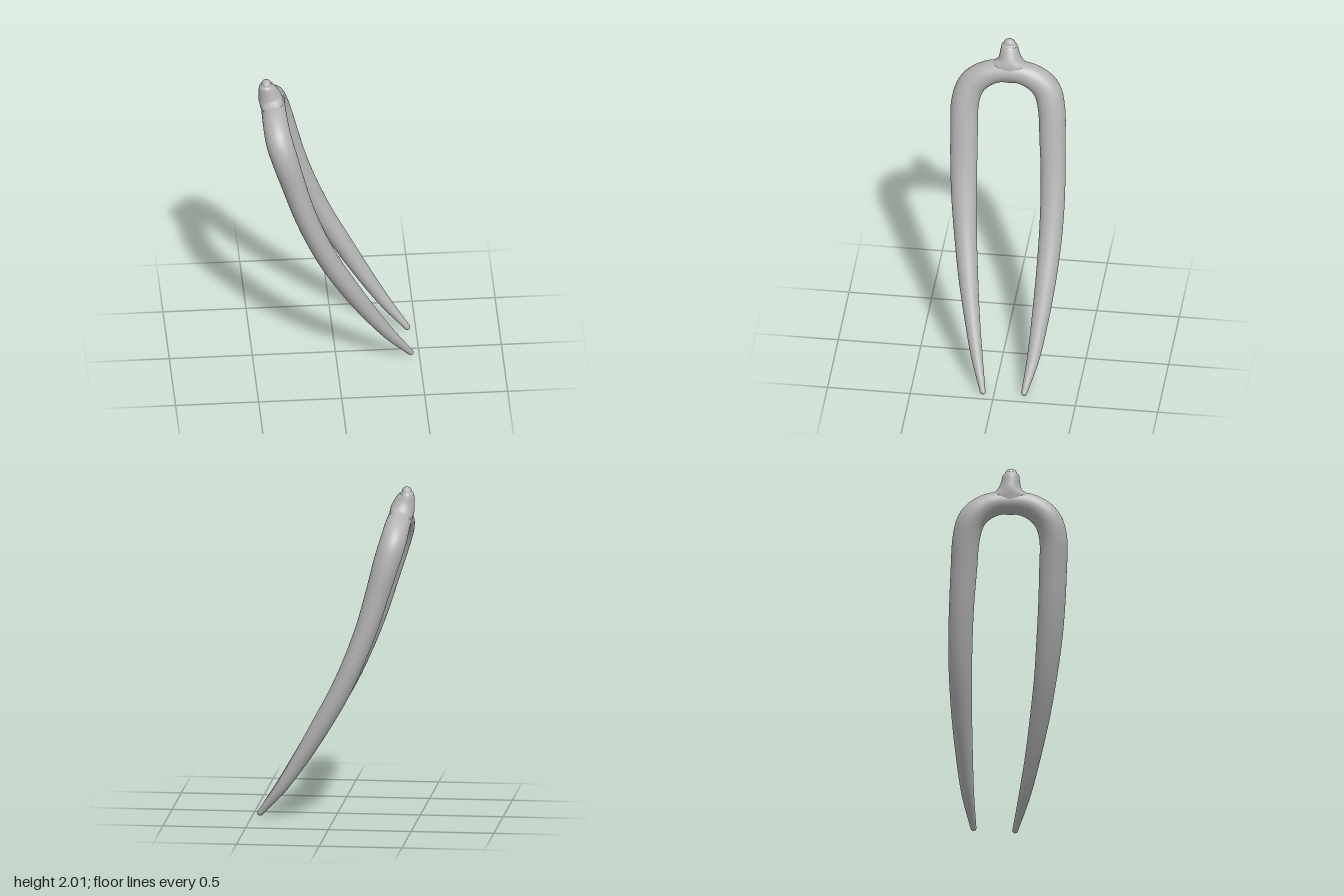
import * as THREE from 'three';

// Sweeps an elliptical section along rows of [x, y, z, radius along ref, radius across], with round ends.
function sweep(rows, ref, steps, sides) {
  const path = new THREE.CatmullRomCurve3(rows.map(r => new THREE.Vector3(r[0], r[1], r[2])), false, 'catmullrom', 0.5);
  const size = new THREE.CatmullRomCurve3(rows.map(r => new THREE.Vector3(r[3], r[4], 0)), false, 'catmullrom', 0.5);
  const rings = [];
  const capSteps = 7;
  for (let k = 0; k < capSteps; k++) rings.push([0, -Math.PI / 2 * (1 - k / capSteps)]);
  for (let i = 0; i <= steps; i++) rings.push([i / steps, 0]);
  for (let k = 1; k <= capSteps; k++) rings.push([1, Math.PI / 2 * k / capSteps]);

  const pos = [], index = [];
  rings.forEach(([t, a], i) => {
    const s = size.getPoint(t), T = path.getTangent(t);
    const B = T.clone().cross(ref).normalize();
    const N = B.clone().cross(T);
    const centre = path.getPoint(t).addScaledVector(T, Math.sin(a) * Math.min(s.x, s.y));
    const shrink = Math.max(Math.cos(a), 0.001);
    for (let j = 0; j < sides; j++) {
      const u = j / sides * Math.PI * 2;
      const p = centre.clone()
        .addScaledVector(N, Math.cos(u) * s.x * shrink)
        .addScaledVector(B, Math.sin(u) * s.y * shrink);
      pos.push(p.x, p.y, p.z);
      if (i < rings.length - 1) {
        const p0 = i * sides + j, p1 = i * sides + (j + 1) % sides;
        index.push(p0, p1, p0 + sides, p1, p1 + sides, p0 + sides);
      }
    }
  });
  const g = new THREE.BufferGeometry();
  g.setAttribute('position', new THREE.Float32BufferAttribute(pos, 3));
  g.setIndex(index);
  g.computeVertexNormals();
  return g;
}

export function createModel() {
  const group = new THREE.Group();
  const bone = new THREE.MeshStandardMaterial({ color: 0xb4b4b4 });
  bone.name = 'grey bone';

  // Front prong, arch and back prong as one continuous fork
  const fork = new THREE.Mesh(sweep([
    [0.448, 0.02, 0.067, 0.018, 0.017],
    [0.315, 0.2, 0.122, 0.036, 0.036],
    [0.185, 0.4, 0.168, 0.049, 0.048],
    [0.067, 0.6, 0.205, 0.058, 0.06],
    [-0.043, 0.8, 0.234, 0.062, 0.068],
    [-0.133, 1.0, 0.254, 0.064, 0.077],
    [-0.208, 1.2, 0.267, 0.067, 0.081],
    [-0.268, 1.4, 0.273, 0.072, 0.083],
    [-0.322, 1.59, 0.274, 0.079, 0.084],
    [-0.357, 1.71, 0.234, 0.08, 0.083],
    [-0.372, 1.785, 0.137, 0.076, 0.075],
    [-0.375, 1.807, 0.01, 0.074, 0.067],
    [-0.372, 1.785, -0.117, 0.076, 0.075],
    [-0.357, 1.71, -0.212, 0.08, 0.083],
    [-0.322, 1.59, -0.25, 0.079, 0.082],
    [-0.268, 1.4, -0.263, 0.072, 0.079],
    [-0.208, 1.2, -0.274, 0.067, 0.075],
    [-0.133, 1.0, -0.279, 0.064, 0.073],
    [-0.043, 0.8, -0.276, 0.062, 0.069],
    [0.067, 0.6, -0.265, 0.058, 0.062],
    [0.185, 0.4, -0.247, 0.049, 0.052],
    [0.315, 0.2, -0.222, 0.036, 0.038],
    [0.447, 0.033, -0.184, 0.018, 0.018],
  ], new THREE.Vector3(0.87, 0.5, 0), 180, 32), bone);
  fork.name = 'fork';

  // Rounded knob that flares out into the crown of the arch
  const knob = new THREE.Mesh(sweep([
    [-0.377, 1.8, 0.012, 0.13, 0.068],
    [-0.385, 1.845, 0.012, 0.122, 0.072],
    [-0.394, 1.88, 0.012, 0.078, 0.071],
    [-0.402, 1.91, 0.014, 0.062, 0.064],
    [-0.412, 1.945, 0.016, 0.054, 0.053],
    [-0.416, 1.962, 0.017, 0.05, 0.046],
    [-0.417, 1.971, 0.017, 0.045, 0.04],
    [-0.417, 1.98, 0.017, 0.036, 0.03],
  ], new THREE.Vector3(0, 0, 1), 40, 32), bone);
  knob.name = 'knob';

  group.add(fork, knob);
  return group;
}
